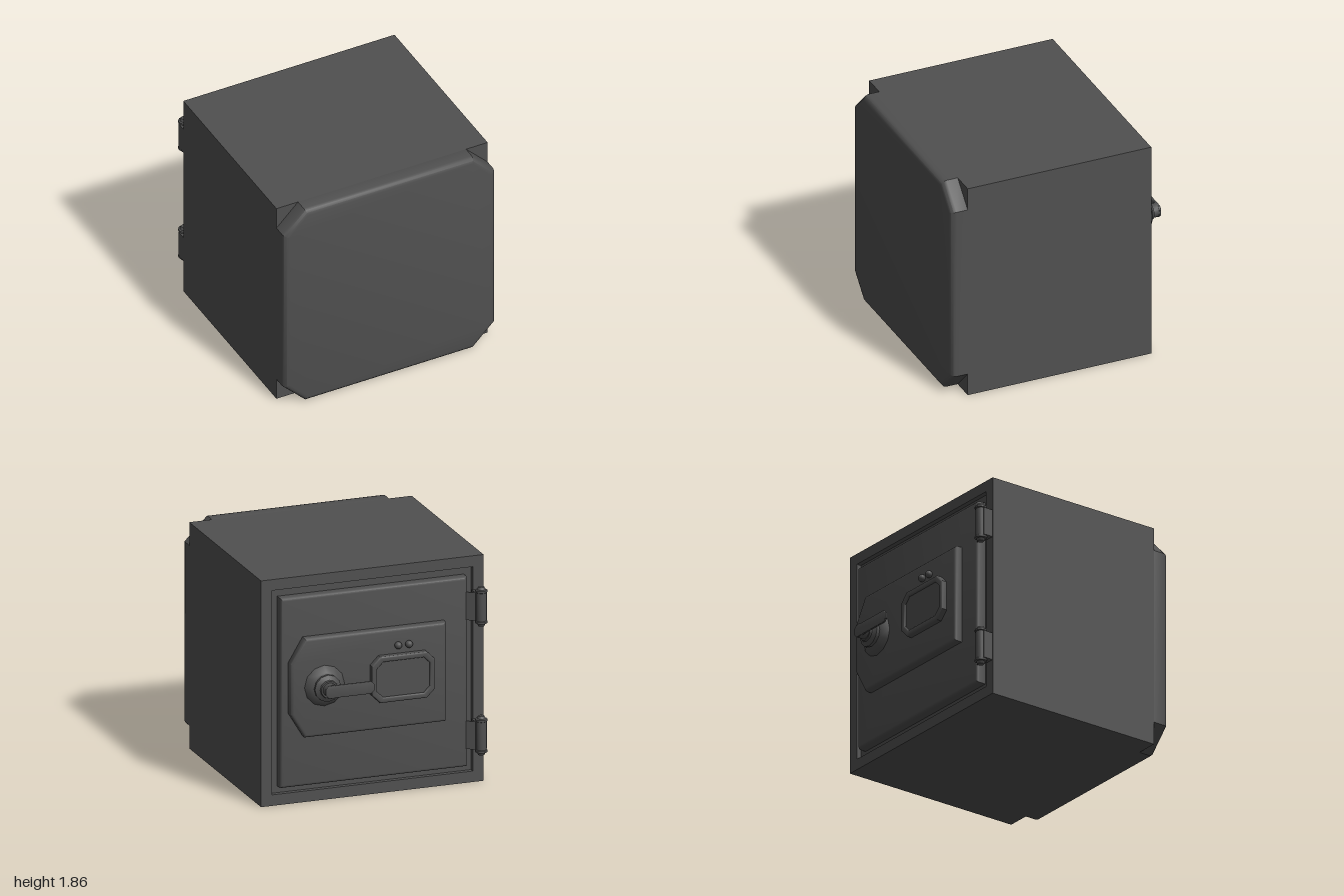
import * as THREE from 'three';
import { toCreasedNormals } from 'three/addons/utils/BufferGeometryUtils.js';

const steel = new THREE.MeshStandardMaterial({ color: 0x505050 });
steel.name = 'dark steel';

function add(parent, name, geometry, x = 0, y = 0, z = 0) {
  const mesh = new THREE.Mesh(geometry, steel);
  mesh.name = name;
  mesh.position.set(x, y, z);
  parent.add(mesh);
  return mesh;
}

// Rectangle outline with its corners cut off: left and right cuts as [dx, dy]
function outline(x0, x1, y0, y1, left = [0, 0], right = left) {
  const points = [
    [x0 + left[0], y0], [x1 - right[0], y0], [x1, y0 + right[1]], [x1, y1 - right[1]],
    [x1 - right[0], y1], [x0 + left[0], y1], [x0, y1 - left[1]], [x0, y0 + left[1]],
  ].map(([x, y]) => new THREE.Vector2(x, y));
  return points.filter((p, i) => !p.equals(points[(i + 1) % 8]));
}

// Plate from z0 to z1 with a rounded front edge (its rear edge is sunk in the part behind)
function slab(parent, name, points, z0, z1, bevel, hole) {
  const shape = new THREE.Shape(points);
  if (hole) shape.holes.push(new THREE.Path(hole));
  const geometry = new THREE.ExtrudeGeometry(shape, {
    depth: z1 - z0 - bevel, bevelEnabled: bevel > 0, bevelThickness: bevel,
    bevelSize: bevel, bevelOffset: -bevel, bevelSegments: 3, curveSegments: 12,
  });
  return add(parent, name, toCreasedNormals(geometry, 0.6), 0, 0, z0);
}

// Turned part from [radius, height] pairs
function turned(profile, sides) {
  const points = profile.map(([r, h]) => new THREE.Vector2(r, h));
  return toCreasedNormals(new THREE.LatheGeometry(points, sides), 0.6);
}

function hinge(parent, y0, y1) {
  const group = new THREE.Group();
  group.name = 'hinge';
  parent.add(group);
  const middle = (y0 + y1) / 2, height = y1 - y0;
  add(group, 'hingeBarrel', turned([
    [0, 0], [0.025, 0.005], [0.035, 0.025], [0.048, 0.03], [0.048, 0.045], [0.041, 0.05],
    [0.041, height - 0.05], [0.048, height - 0.045], [0.048, height - 0.03],
    [0.035, height - 0.025], [0.025, height - 0.005], [0, height],
  ], 16), 0.88, y0, 0.795);
  add(group, 'hingeLeaf', new THREE.BoxGeometry(0.095, height - 0.1, 0.09), 0.88, middle, 0.755);
  const strap = add(group, 'hingeStrap',
    new THREE.BoxGeometry(0.1, height - 0.1, 0.012), 0.805, middle, 0.765);
  strap.rotation.y = -0.6;
}

export function createModel() {
  const safe = new THREE.Group();
  safe.name = 'safe';

  // Body and the thick plate with cut corners on its +z face
  add(safe, 'body', new THREE.BoxGeometry(1.86, 1.86, 1.535), 0, 0.93, 0.0925);
  slab(safe, 'endPlate', outline(-0.93, 0.93, 0, 1.86, [0.19, 0.19]), 0.86, 1, 0.045);

  // Door side, built facing +z and turned to face -z
  const door = new THREE.Group();
  door.name = 'doorSide';
  door.rotation.y = Math.PI;
  safe.add(door);
  slab(door, 'doorFrame', outline(-0.93, 0.93, 0, 1.86), 0.675, 0.715, 0,
    outline(-0.84, 0.84, 0.09, 1.77));
  slab(door, 'doorLeaf', outline(-0.78, 0.78, 0.145, 1.705), 0.675, 0.755, 0.025);
  slab(door, 'lockPanel', outline(-0.72, 0.58, 0.56, 1.375, [0.12, 0.2], [0, 0]), 0.755, 0.82, 0.025);

  // Keypad with a raised rim and two lamps above it
  slab(door, 'keypadRim', outline(-0.06, 0.47, 0.79, 1.17, [0.07, 0.07]), 0.82, 0.87, 0.012,
    outline(-0.015, 0.425, 0.835, 1.125, [0.05, 0.05]));
  slab(door, 'keypadFace', outline(-0.03, 0.44, 0.82, 1.14, [0.05, 0.05]), 0.82, 0.855, 0);
  for (const x of [0.17, 0.26]) {
    add(door, 'lamp', new THREE.SphereGeometry(0.03, 16, 12), x, 1.24, 0.838);
  }

  // Stepped handle boss and lever
  const boss = add(door, 'handleBoss', turned([
    [0.17, 0], [0.165, 0.01], [0.12, 0.05], [0.105, 0.055], [0.11, 0.065], [0.11, 0.085],
    [0.075, 0.105], [0.07, 0.12], [0.057, 0.12], [0.057, 0.18], [0, 0.18],
  ], 12), -0.44, 0.975, 0.815);
  boss.rotation.x = Math.PI / 2;
  slab(door, 'lever', outline(-0.495, -0.09, 0.925, 1.025, [0.025, 0.025]), 0.985, 1, 0.004);

  hinge(door, 0.24, 0.57);
  hinge(door, 1.3, 1.63);
  return safe;
}
